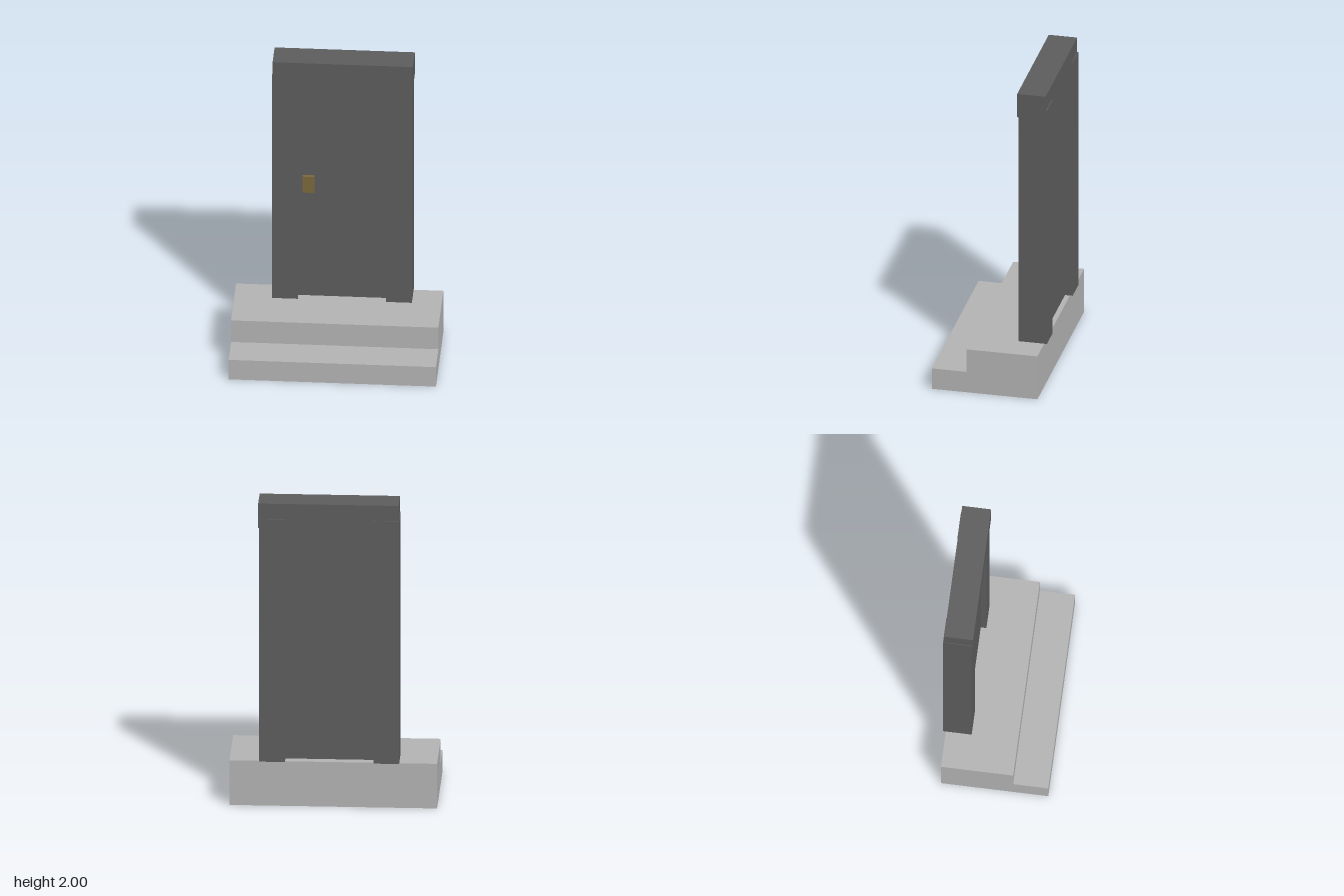
import * as THREE from 'three';

export function createModel() {
  const model = new THREE.Group();
  model.name = 'doorwayWithSteps';

  const make = (name, color) => {
    const m = new THREE.MeshStandardMaterial({ color });
    m.name = name;
    return m;
  };
  const stone = make('paleStone', 0xb2b2b2);
  stone.side = THREE.DoubleSide; // the steps are an open shell
  const dark = make('darkGrey', 0x5c5c5c);
  const brass = make('dullBrass', 0x7a683c);

  function add(parent, name, geometry, material) {
    const mesh = new THREE.Mesh(geometry, material);
    mesh.name = name;
    parent.add(mesh);
  }

  // Box given by its limits on each axis
  function box(name, [x0, x1], [y0, y1], [z0, z1], material) {
    const g = new THREE.BoxGeometry(x1 - x0, y1 - y0, z1 - z0);
    g.translate((x0 + x1) / 2, (y0 + y1) / 2, (z0 + z1) / 2);
    add(model, name, g, material);
  }

  // Steps: hollow shell, open underneath, swept from a (z, y) profile
  const steps = new THREE.Group();
  steps.name = 'steps';
  model.add(steps);
  const half = 0.645;
  const profile = [
    [0.345, 0], [0.345, 0.14], [0.125, 0.14],
    [0.125, 0.295], [-0.327, 0.295], [-0.327, 0],
  ];
  const corners = [];
  for (let i = 0; i < profile.length - 1; i++) {
    const [az, ay] = profile[i];
    const [bz, by] = profile[i + 1];
    corners.push(-half, ay, az, half, ay, az, half, by, bz);
    corners.push(-half, ay, az, half, by, bz, -half, by, bz);
  }
  const sweep = new THREE.BufferGeometry();
  sweep.setAttribute('position', new THREE.Float32BufferAttribute(corners, 3));
  sweep.computeVertexNormals();
  add(steps, 'treadsAndRisers', sweep, stone);

  // End walls of the steps
  for (const side of [-1, 1]) {
    const shape = new THREE.Shape(profile.map(([z, y]) => new THREE.Vector2(-side * z, y)));
    const g = new THREE.ShapeGeometry(shape);
    g.rotateY((side * Math.PI) / 2);
    g.translate(side * half, 0, 0);
    add(steps, side < 0 ? 'rightEndWall' : 'leftEndWall', g, stone);
  }

  // Door frame: the jambs sit slightly behind the lintel
  box('rightJamb', [-0.41, -0.25], [0.296, 1.9], [-0.345, -0.165], dark);
  box('leftJamb', [0.3, 0.46], [0.296, 1.9], [-0.345, -0.165], dark);
  box('lintel', [-0.406, 0.466], [1.84, 2], [-0.338, -0.157], dark);

  // Recessed door and its handle plate
  box('door', [-0.252, 0.302], [0.304, 1.845], [-0.3, -0.2], dark);
  box('handlePlate', [-0.222, -0.147], [1.055, 1.17], [-0.21, -0.178], brass);

  return model;
}
